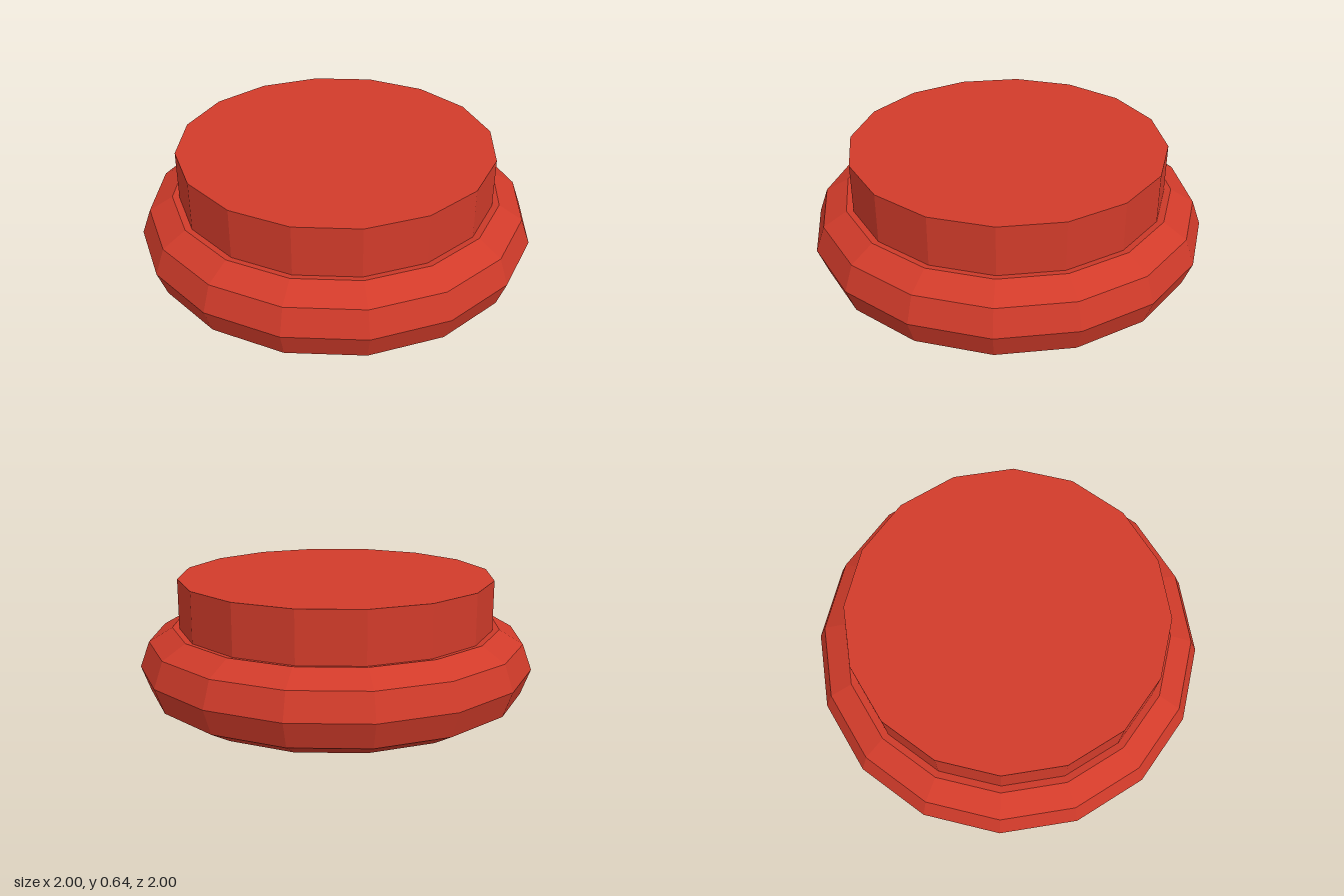
import * as THREE from 'three';

const SIDES = 16;
const RADIUS = 0.8;

export function createModel() {
  const group = new THREE.Group();
  group.name = 'roundButton';
  const material = new THREE.MeshStandardMaterial({ color: 0xd13b2a, flatShading: true });

  const add = (name, geometry, y) => {
    const mesh = new THREE.Mesh(geometry, material);
    mesh.name = name;
    mesh.position.y = y;
    group.add(mesh);
  };

  // Faceted ring lying flat; its nine-sided section is 0.197 deep below the centre
  const tube = 0.2;
  const ring = new THREE.TorusGeometry(RADIUS, tube, 9, SIDES).rotateX(Math.PI / 2);
  add('baseRing', ring, tube * Math.sin(THREE.MathUtils.degToRad(80)));

  // Solid plug rising out of the ring, its floor recessed inside the opening
  const bottom = 0.15, top = 0.64;
  add('centrePlug', new THREE.CylinderGeometry(RADIUS, RADIUS, top - bottom, SIDES), (top + bottom) / 2);

  return group;
}
